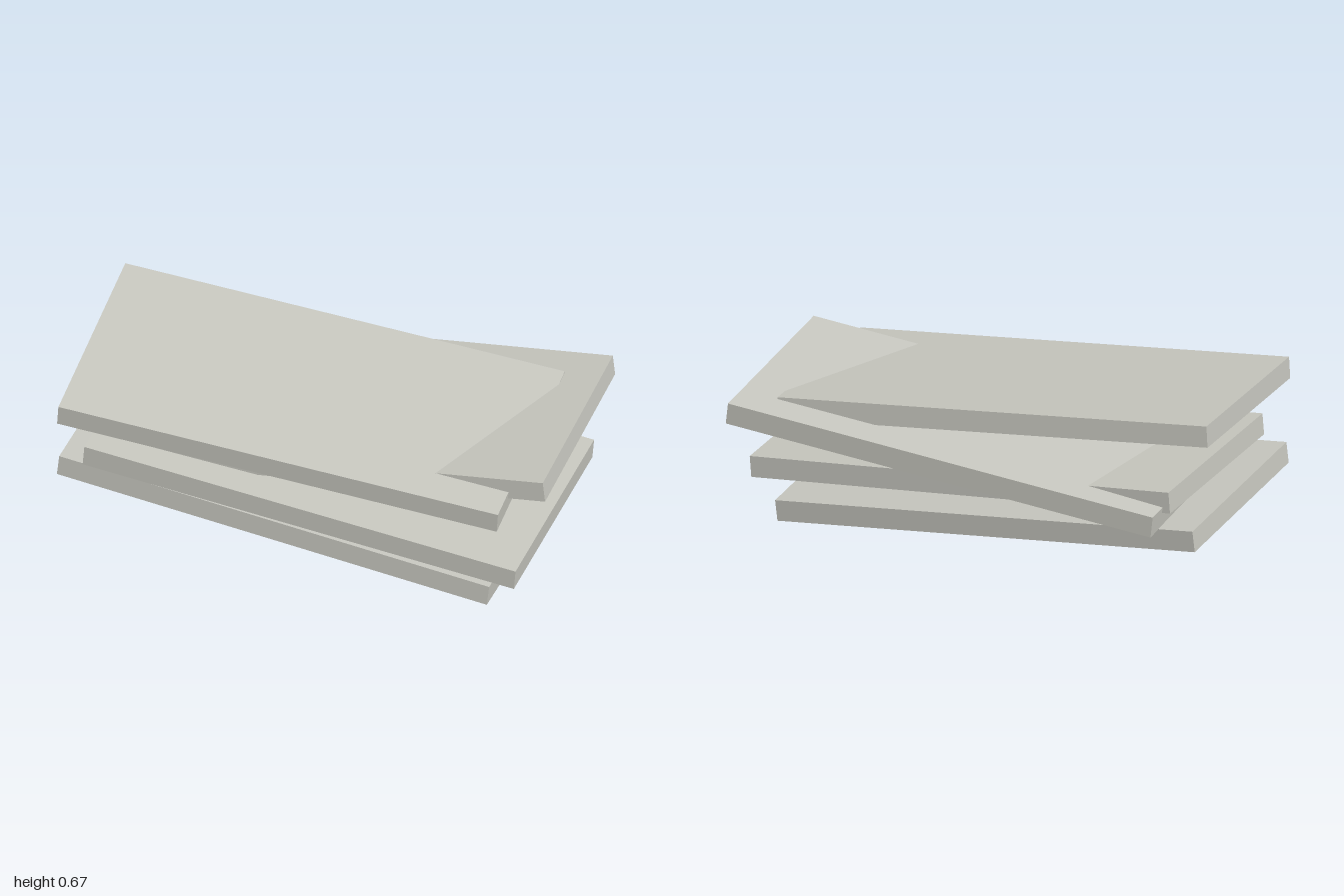
import * as THREE from 'three';

// A loose stack of four identical slabs, each lying at its own slight tilt
const LENGTH = 1.813, THICKNESS = 0.088, WIDTH = 0.907;

const SLABS = [
  { name: 'bottomSlab', position: [-0.083, 0.155, 0.037], rotation: [-0.047, 0, -0.095] },
  { name: 'lowerMiddleSlab', position: [0.033, 0.283, 0.055], rotation: [0.002, 0, -0.081] },
  { name: 'upperMiddleSlab', position: [0.076, 0.408, -0.088], rotation: [-0.031, 0.039, 0.119] },
  { name: 'topSlab', position: [-0.075, 0.539, 0.074], rotation: [0.055, 0.053, -0.08] },
];

export function createModel() {
  const group = new THREE.Group();
  group.name = 'slabStack';

  const stone = new THREE.MeshStandardMaterial({ color: 0xc8c8c0 });
  stone.name = 'pale grey stone';

  const geometry = new THREE.BoxGeometry(LENGTH, THICKNESS, WIDTH);
  for (const { name, position, rotation } of SLABS) {
    const slab = new THREE.Mesh(geometry, stone);
    slab.name = name;
    slab.position.set(...position);
    slab.rotation.set(...rotation);
    group.add(slab);
  }
  return group;
}
